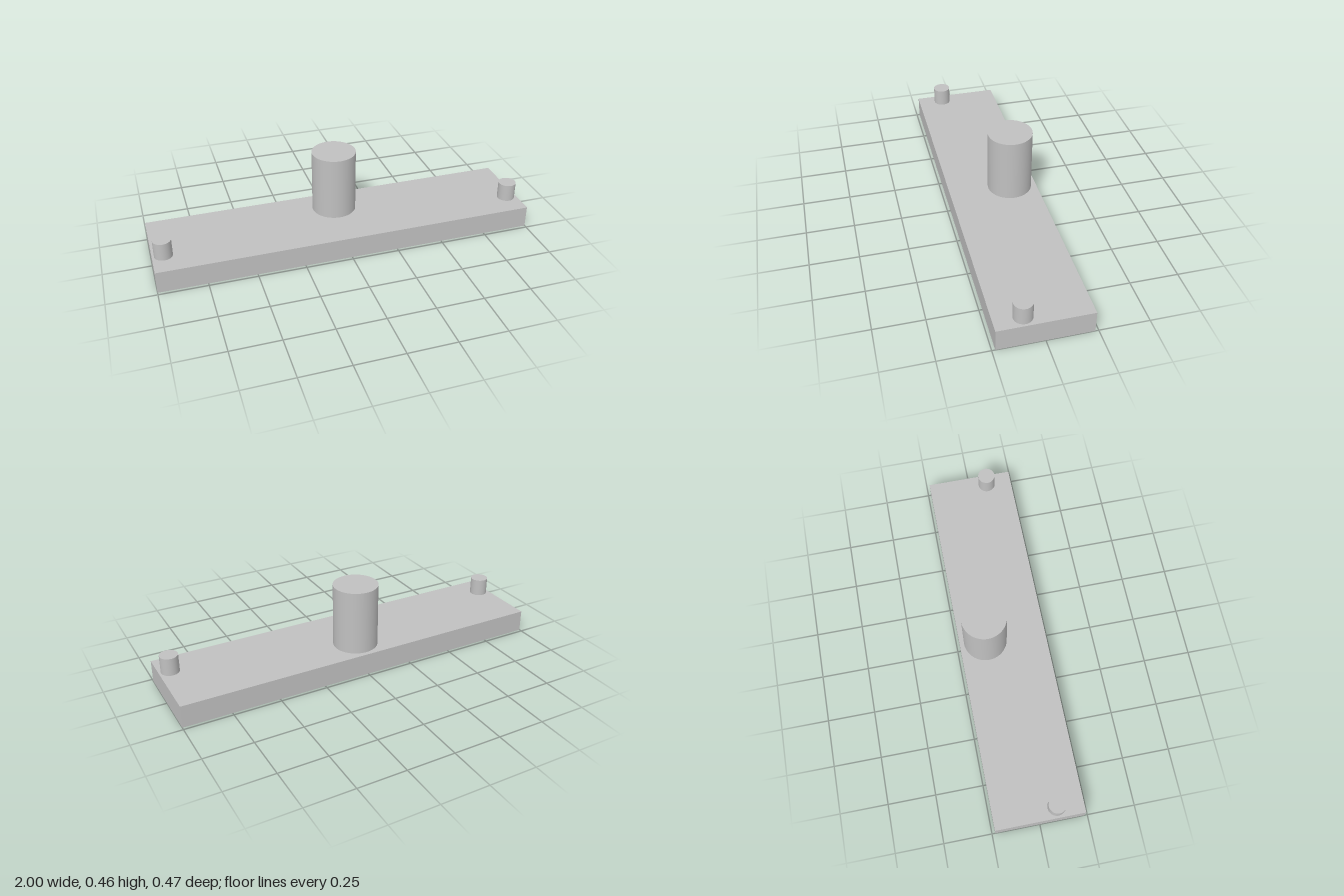
import * as THREE from 'three';

export function createModel() {
  const model = new THREE.Group();
  model.name = 'plateWithPosts';

  const grey = new THREE.MeshStandardMaterial({ color: 0xc0c0c0 });
  grey.name = 'lightGrey';

  const baseHeight = 0.117;

  // Flat rectangular base plate
  const base = new THREE.Mesh(new THREE.BoxGeometry(2, baseHeight, 0.467), grey);
  base.name = 'basePlate';
  base.position.y = baseHeight / 2;
  model.add(base);

  // Upright cylinder standing on the plate
  function addPost(name, radius, height, x, z) {
    const post = new THREE.Mesh(new THREE.CylinderGeometry(radius, radius, height, 64), grey);
    post.name = name;
    post.position.set(x, baseHeight + height / 2, z);
    model.add(post);
  }

  // Large post set towards the back, small pegs near the front at each end
  addPost('centrePost', 0.1165, 0.339, 0, -0.0935);
  addPost('leftPeg', 0.0467, 0.0935, 0.942, 0.0935);
  addPost('rightPeg', 0.0467, 0.0935, -0.942, 0.0935);

  return model;
}
